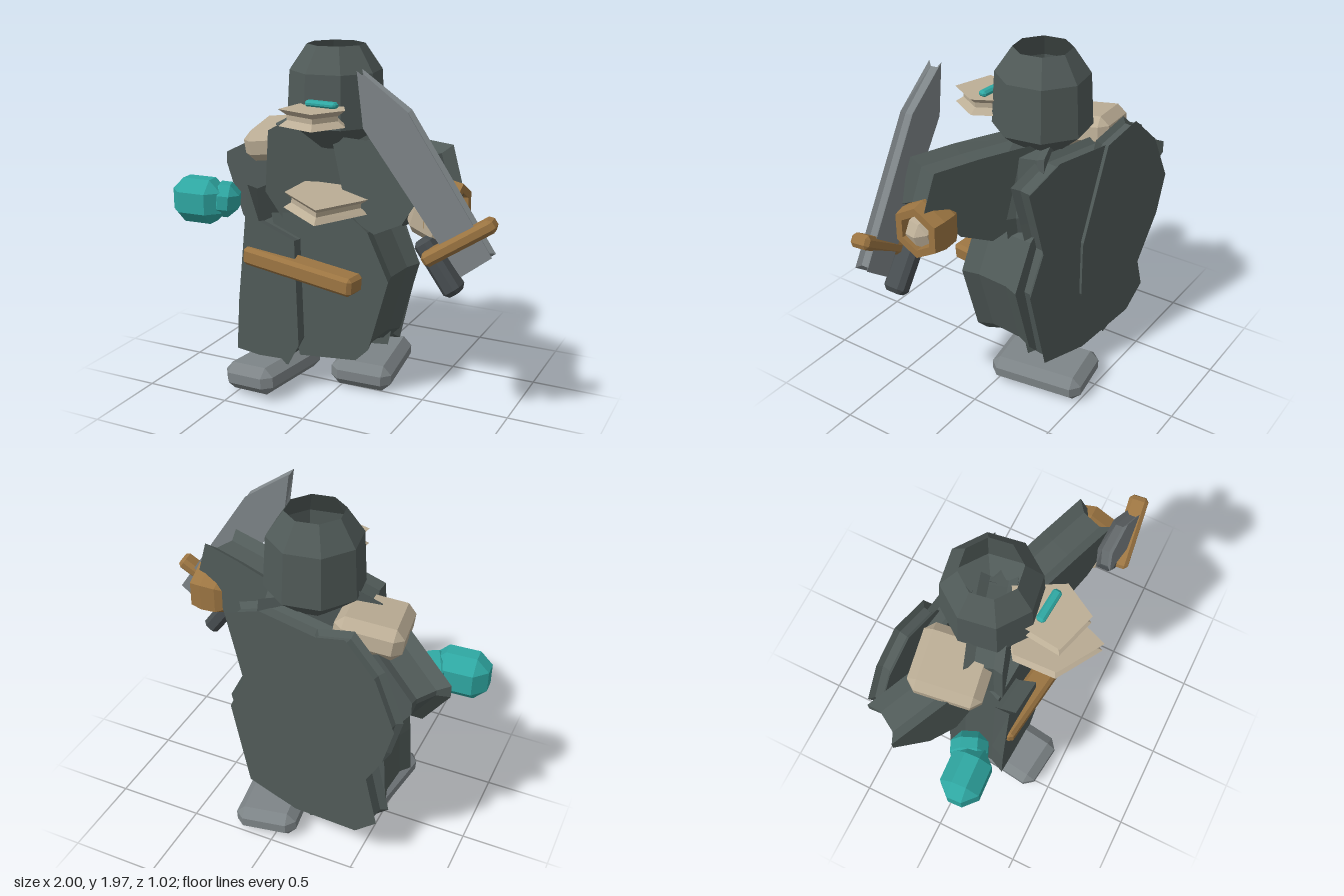
import * as THREE from 'three';
import { ConvexGeometry } from 'three/addons/geometries/ConvexGeometry.js';

const paint = (color) => new THREE.MeshStandardMaterial({ color, flatShading: true, side: THREE.DoubleSide });
const CLOTH = paint(0x505a58), STEEL = paint(0x7d8487), GRIP = paint(0x474d50);
const BONE = paint(0xbcae96), WOOD = paint(0x9c7542), TEAL = paint(0x2fa8a3);

export function createModel() {
  const model = new THREE.Group();

  function add(name, geometry, material, pos = [0, 0, 0], rot = [0, 0, 0]) {
    const mesh = new THREE.Mesh(geometry, material);
    mesh.name = name;
    mesh.position.set(...pos);
    mesh.rotation.set(...rot);
    model.add(mesh);
  }

  // Box with every edge cut off
  function chamferBox(w, h, d, c) {
    const pts = [];
    for (const x of [-1, 1]) for (const y of [-1, 1]) for (const z of [-1, 1]) {
      for (let axis = 0; axis < 3; axis++) {
        const cut = [c, c, c];
        cut[axis] = 0;
        pts.push(new THREE.Vector3(x * (w / 2 - cut[0]), y * (h / 2 - cut[1]), z * (d / 2 - cut[2])));
      }
    }
    return new ConvexGeometry(pts);
  }

  // Slab whose rim is pinched inwards between its two flared faces
  function pinched(outline, depth, pinch, bevel = depth * 0.25) {
    const shape = new THREE.Shape(outline.map(([x, y]) => new THREE.Vector2(x, y)));
    const g = new THREE.ExtrudeGeometry(shape, {
      depth: depth - 2 * bevel, bevelEnabled: true, bevelSegments: 1,
      bevelThickness: bevel, bevelSize: -pinch,
    });
    return g.translate(0, 0, bevel - depth / 2);
  }

  // Upright slab: outline as seen from the front, turned about the vertical at x = cx
  function slab(name, material, outline, depth, cx, z, yaw, pinch = 0.03) {
    const local = outline.map(([x, y]) => [(x - cx) / Math.cos(yaw), y]);
    add(name, pinched(local, depth, pinch), material, [cx, 0, z], [0, yaw, 0]);
  }

  // Turned ring from [radius, height] pairs
  const turned = (profile, sides, start) =>
    new THREE.LatheGeometry(profile.map(([r, y]) => new THREE.Vector2(r, y)), sides, start);

  // Hood, open at the crown and neck
  add('hood', turned([[0.12, 1.41], [0.272, 1.54], [0.255, 1.83], [0.16, 1.97]], 8, -0.24), CLOTH, [-0.075, 0, -0.07]);

  // Robe
  slab('torso', CLOTH, [[-0.42, 1.5], [-0.28, 1.58], [0.05, 1.5], [0.2, 1.47], [0.24, 1.1], [0.2, 0.95],
    [0.1, 0.88], [-0.3, 0.92], [-0.44, 1.15]], 0.2, -0.05, -0.07, 0.3);
  slab('leftSkirt', CLOTH, [[-0.38, 1.02], [0.1, 1.1], [0.24, 1], [0.37, 0.74], [0.25, 0.32], [0.17, 0.24],
    [-0.2, 0.19]], 0.38, 0.08, -0.04, -0.08);
  slab('rightSkirt', CLOTH, [[-0.47, 1.2], [-0.4, 1], [-0.17, 0.92], [-0.15, 0.3], [-0.22, 0.17],
    [-0.57, 0.2], [-0.55, 0.5]], 0.36, -0.36, 0.05, -0.06);
  slab('backRobe', CLOTH, [[-0.36, 1.42], [0.12, 1.45], [0.35, 1.35], [0.28, 1.1], [0.24, 0.95], [0.34, 0.72],
    [0.22, 0.22], [-0.1, 0.16], [-0.5, 0.22], [-0.63, 0.35], [-0.5, 0.85]], 0.13, -0.1, -0.29, -0.17);

  // Sleeves
  slab('leftSleeve', CLOTH, [[0, 1.49], [0.38, 1.51], [0.63, 1.51], [0.71, 1.26], [0.58, 1.22], [0.5, 1.1],
    [0.31, 1.0], [0.12, 1.06]], 0.23, 0.35, 0.085, -0.35, 0.04);
  slab('rightSleeve', CLOTH, [[-0.84, 1.25], [-0.55, 1.39], [-0.36, 1.46], [-0.4, 1.1], [-0.53, 0.86], [-0.67, 0.9],
    [-0.84, 1.18]], 0.25, -0.6, -0.2, -0.55, 0.04);

  // Broad slab carried on the back
  slab('backShield', CLOTH, [[-0.2, 1.45], [-0.42, 1.52], [-0.6, 1.35], [-0.72, 1.08], [-0.66, 0.85], [-0.36, 0.3],
    [-0.22, 0.22], [-0.02, 0.55], [-0.02, 0.9]], 0.09, -0.33, -0.395, -0.18, 0.03);

  // Collar and chest plates, lying flat
  const flat = (name, outline, y, h, roll) => add(name,
    pinched(outline.map(([x, z]) => [x, -z]), h, 0.035, h * 0.35).rotateX(-Math.PI / 2), BONE, [0, y, 0], [0, 0, roll]);
  flat('facePlate', [[-0.2, 0.36], [0.03, 0.43], [0.135, 0.25], [0, 0], [-0.17, 0.1]], 1.625, 0.09, 0);
  flat('chestPlate', [[-0.18, 0.35], [0.09, 0.51], [0.23, 0.15], [0, -0.03], [-0.19, 0.1]], 1.165, 0.085, -0.1);
  add('eyeBar', chamferBox(0.19, 0.035, 0.05, 0.012), TEAL, [-0.02, 1.685, 0.215], [0, -0.08, 0]);

  // Belt and shoulder pack
  add('belt', chamferBox(0.73, 0.105, 0.14, 0.02), WOOD, [-0.145, 0.76, 0.23], [0, -0.13, -0.08]);
  add('shoulderPack', chamferBox(0.37, 0.18, 0.4, 0.05), BONE, [-0.435, 1.41, -0.12], [0.1, 0.16, 0.1]);

  // Right hand
  add('rightFist', chamferBox(0.31, 0.26, 0.22, 0.07), TEAL, [-0.845, 1.055, 0.15], [0, 0.05, 0]);
  add('rightWrist', chamferBox(0.17, 0.19, 0.2, 0.055), TEAL, [-0.71, 1.06, 0.1], [0, 0.4, -0.1]);

  // Left hand inside a six-sided cuff
  const cuff = turned([[0.1, 0.1], [0.145, 0.1], [0.16, 0.03], [0.155, -0.06], [0.13, -0.1], [0.09, -0.1], [0.1, 0.1]],
    6, Math.PI / 2);
  add('leftCuff', cuff.rotateZ(-Math.PI / 2), WOOD, [0.655, 1.185, 0.15]);
  add('leftHand', chamferBox(0.24, 0.2, 0.19, 0.05), BONE, [0.61, 1.135, 0.19], [0, -0.2, -0.3]);

  // Sword
  slab('blade', STEEL, [[0.27, 1.905], [0.535, 1.72], [0.985, 1.03], [0.83, 0.91], [0.305, 1.62]],
    0.075, 0.62, 0.345, 0.06, 0.02);
  add('swordGuard', chamferBox(0.42, 0.075, 0.11, 0.02), WOOD, [0.81, 1.085, 0.345], [0, 0.12, 0.58]);
  add('swordGrip', chamferBox(0.1, 0.33, 0.13, 0.025), GRIP, [0.69, 0.925, 0.29], [0, 0, 0.62]);

  // Feet
  add('rightFoot', chamferBox(0.33, 0.16, 0.56, 0.05), STEEL, [-0.375, 0.11, 0.15], [0, -0.13, 0.07]);
  add('leftFoot', chamferBox(0.36, 0.155, 0.56, 0.05), STEEL, [0.09, 0.086, -0.215], [0, 0.14, -0.05]);

  return model;
}
